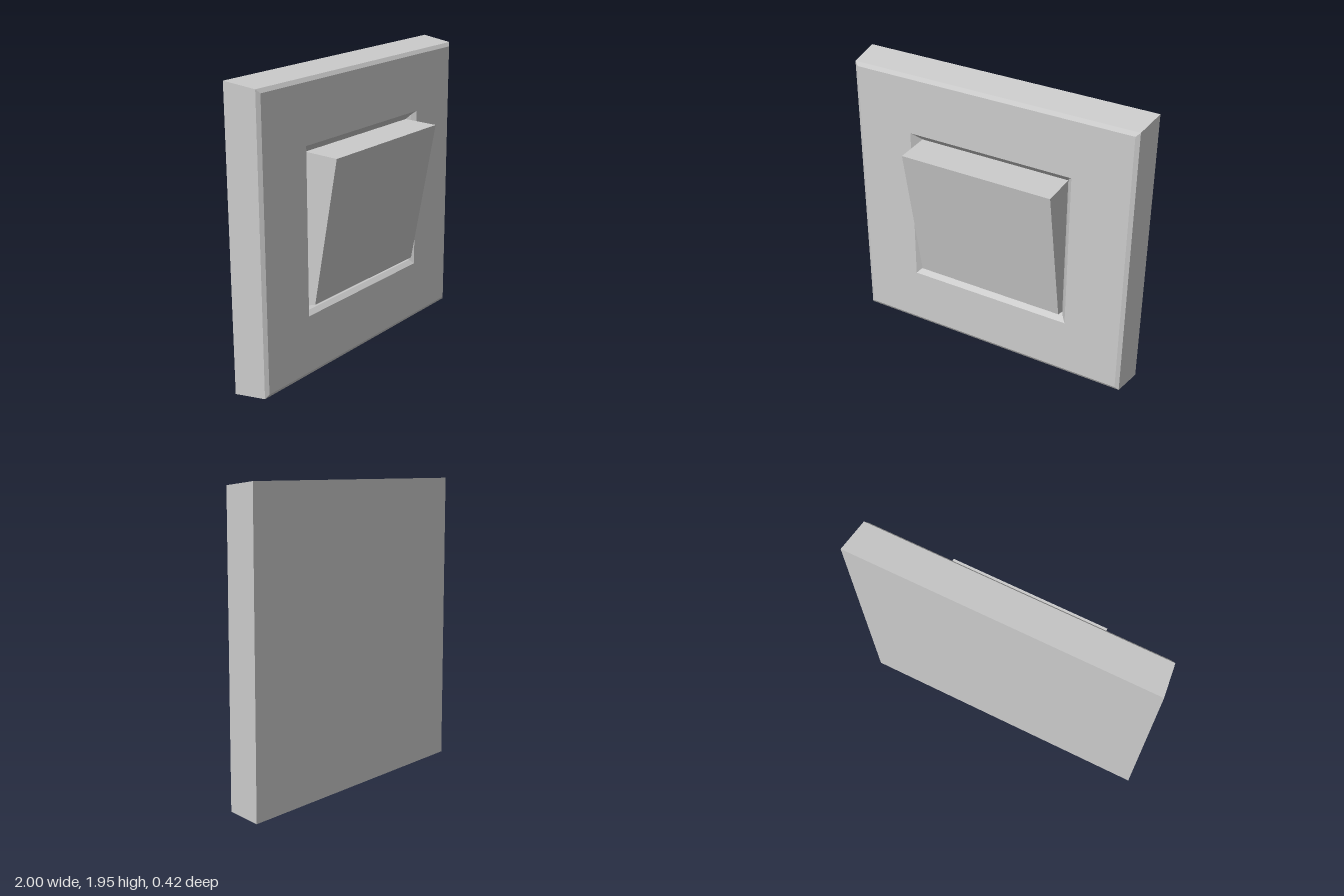
import * as THREE from 'three';

const material = new THREE.MeshStandardMaterial({ color: 0xcccccc, flatShading: true });

// Joins rectangular rings [x0, x1, y0, y1, zBottom, zTop], outermost first
function loft(name, rings, capBack, capFront) {
  const loops = rings.map(([x0, x1, y0, y1, zb, zt = zb]) => [
    [x0, y0, zb], [x1, y0, zb], [x1, y1, zt], [x0, y1, zt],
  ]);
  const pos = [];
  const quad = (a, b, c, d) => pos.push(...a, ...b, ...c, ...a, ...c, ...d);
  for (let i = 0; i + 1 < loops.length; i++) {
    const p = loops[i], q = loops[i + 1];
    for (let k = 0; k < 4; k++) {
      const n = (k + 1) % 4;
      quad(p[k], p[n], q[n], q[k]);
    }
  }
  if (capBack) quad(...[...loops[0]].reverse());
  if (capFront) quad(...loops[loops.length - 1]);
  const geometry = new THREE.BufferGeometry();
  geometry.setAttribute('position', new THREE.Float32BufferAttribute(pos, 3));
  geometry.computeVertexNormals();
  const mesh = new THREE.Mesh(geometry, material);
  mesh.name = name;
  return mesh;
}

export function createModel() {
  const group = new THREE.Group();
  group.name = 'wallSwitch';

  // Tapered wall plate: sides, front chamfer, face, then the bevelled recess
  group.add(loft('wallPlate', [
    [-1, 1, 0, 1.95, -0.21],
    [-0.975, 0.975, 0.025, 1.925, 0.01],
    [-0.95, 0.95, 0.05, 1.9, 0.025],
    [-0.57, 0.57, 0.43, 1.52, 0.025],
    [-0.545, 0.545, 0.458, 1.497, 0],
    [-0.515, 0.525, 0.47, 1.465, -0.03],
  ], true, false));

  // Rocker: wedge standing out at the top, almost flush at the bottom
  group.add(loft('rocker', [
    [-0.515, 0.525, 0.47, 1.465, -0.03],
    [-0.515, 0.525, 0.49, 1.46, 0.03, 0.21],
  ], false, true));

  return group;
}
